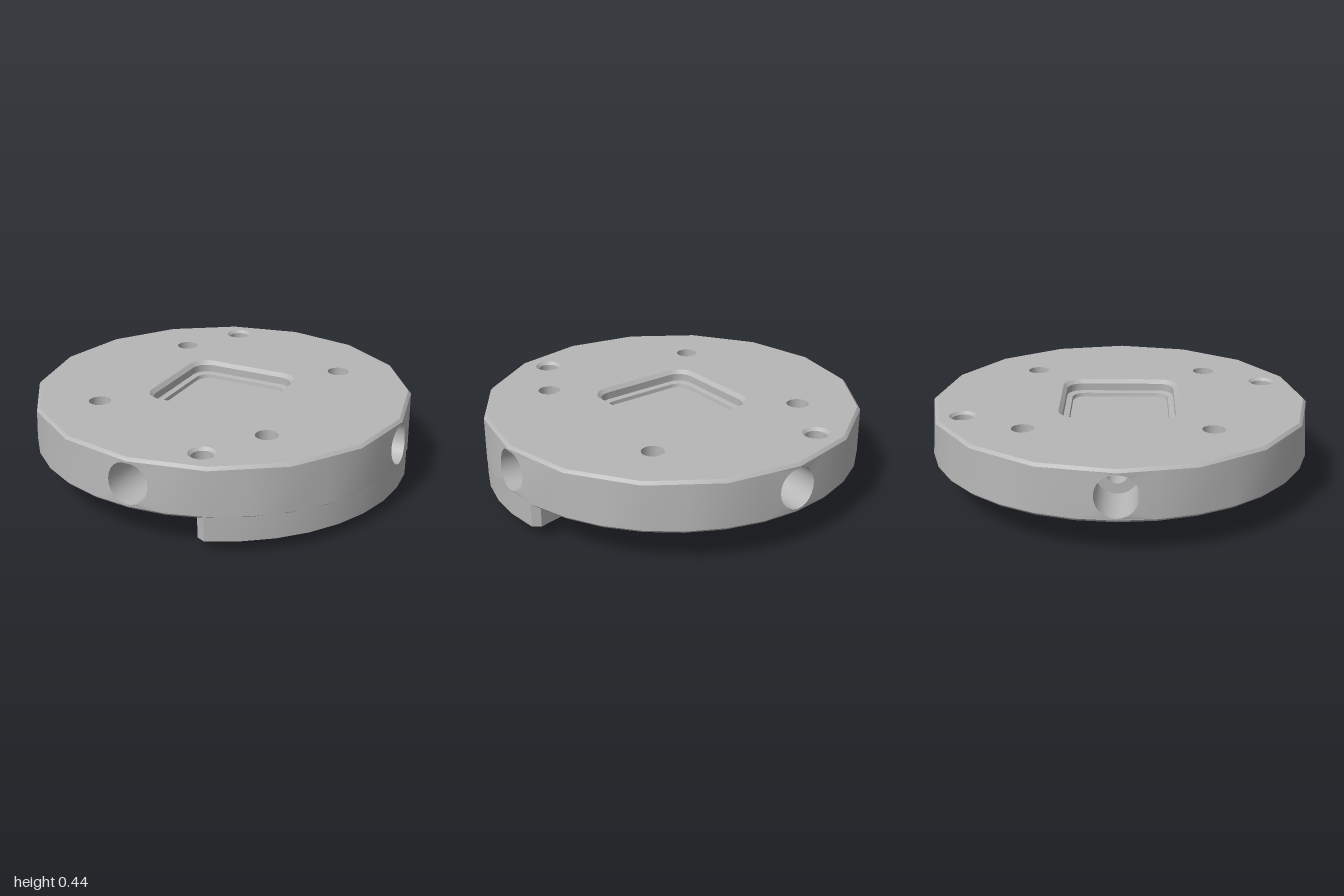
import * as THREE from 'three';
import { mergeGeometries, toCreasedNormals } from 'three/addons/utils/BufferGeometryUtils.js';

const V = (x, y, z) => new THREE.Vector3(x, y, z);
const TAU = Math.PI * 2, DEG = Math.PI / 180;

// Radius of a regular 16-sided polygon at a given angle
const poly16 = (a) => {
  const s = TAU / 16, m = ((a % s) + s) % s;
  return Math.cos(s / 2) / Math.cos(m - s / 2);
};

// Closed rings of points lying in a horizontal plane
const ring = (cx, cz, r, y, n = 20) => Array.from({ length: n }, (_, i) =>
  V(cx + r * Math.cos(i / n * TAU), y, cz + r * Math.sin(i / n * TAU)));
const facetRing = (r, y) => Array.from({ length: 32 }, (_, i) => {
  const a = i / 32 * TAU, q = r * poly16(a);
  return V(q * Math.cos(a), y, q * Math.sin(a));
});
const squareRing = (half, corner, y) => {
  const pts = [];
  for (let q = 0; q < 4; q++) for (let i = 0; i <= 5; i++) {
    const a = (q + i / 5) * Math.PI / 2, m = (q + 0.5) * Math.PI / 2;
    pts.push(V(Math.sign(Math.cos(m)) * (half - corner) + corner * Math.cos(a), y,
      Math.sign(Math.sin(m)) * (half - corner) + corner * Math.sin(a)));
  }
  return pts;
};

function geometry(points, index) {
  const g = new THREE.BufferGeometry().setFromPoints(points);
  g.setIndex(index);
  return g;
}

// Skin through closed rings of equal length; keep() can leave columns open
function loft(rings, keep = () => true) {
  const n = rings[0].length, idx = [];
  for (let k = 0; k < rings.length - 1; k++) for (let i = 0; i < n; i++) {
    if (!keep(i, k)) continue;
    const a = k * n + i, b = k * n + (i + 1) % n;
    idx.push(a, a + n, b, b, a + n, b + n);
  }
  return geometry(rings.flat(), idx);
}

// Flat horizontal face with holes
function cap(outer, holes, up) {
  const flat = (pts) => pts.map((p) => new THREE.Vector2(p.x, up ? -p.z : p.z));
  const shape = new THREE.Shape(flat(outer));
  shape.holes = holes.map((h) => new THREE.Path(flat(h)));
  const g = new THREE.ShapeGeometry(shape);
  g.rotateX(up ? -Math.PI / 2 : Math.PI / 2).translate(0, outer[0].y, 0);
  g.deleteAttribute('normal');
  g.deleteAttribute('uv');
  return g;
}

export function createModel() {
  const group = new THREE.Group();
  const metal = new THREE.MeshStandardMaterial({ color: 0xb6b6b6, side: THREE.DoubleSide });
  metal.name = 'plain grey metal';
  const add = (name, ...geos) => {
    const g = toCreasedNormals(mergeGeometries(geos), 0.6);
    const mesh = new THREE.Mesh(g, metal);
    mesh.name = name;
    group.add(mesh);
  };
  // Vertical bore from [radius, y] steps
  const bore = (name, [x, z], steps) =>
    add(name, loft(steps.map(([r, y]) => ring(x, z, r, y))));

  // Hole layout
  const bolts = [[1, 1], [1, -1], [-1, -1], [-1, 1]].map(([x, z]) => [x * 0.475, z * 0.475]);
  const pins = [[-0.295, -0.8], [0.29, 0.79]];
  const polar = (r, deg) => [r * Math.cos(deg * DEG), r * Math.sin(deg * DEG)];
  const smallHoles = [0, 1, 2, 3, 4, 5].map((i) => polar(0.475, 5 + 60 * i));
  const largeHoles = [0, 1, 2].map((i) => polar(0.43, 35 + 120 * i));

  // Disc faces
  const topRing = facetRing(0.985, 0.445);
  const bottomRing = ring(0, 0, 0.985, 0.18, 32);
  add('discTop', cap(topRing, [
    squareRing(0.315, 0.1, 0.445),
    ...bolts.map(([x, z]) => ring(x, z, 0.058, 0.445)),
    ...pins.map(([x, z]) => ring(x, z, 0.07, 0.445)),
  ], true));
  add('discUnderside', cap(bottomRing, bolts.map(([x, z]) => ring(x, z, 0.105, 0.18)), false));

  // Disc rim: round below, sixteen-sided above, left open around the side bores
  const lowY = 0.195, highY = 0.43, boreY = 0.312, boreR = 0.108;
  const rimPoint = (a, y) => {
    const r = THREE.MathUtils.lerp(1, poly16(a), (y - lowY) / (highY - lowY));
    return V(r * Math.cos(a), y, r * Math.sin(a));
  };
  const rim = loft([bottomRing, ring(0, 0, 1, lowY, 32), facetRing(1, highY), topRing],
    (i, k) => k !== 1 || (i % 8 !== 0 && i % 8 !== 7));
  const patches = [], sideBores = [];
  for (let q = 0; q < 4; q++) {
    const mid = q * Math.PI / 2, w = TAU / 32;
    const circle = Array.from({ length: 24 }, (_, i) => i / 24 * TAU);
    const frame = [[-w, lowY], [0, lowY], [w, lowY], [w, highY], [0, highY], [-w, highY]]
      .map((p) => new THREE.Vector2(...p));
    const hole = circle.map((t) =>
      new THREE.Vector2(Math.asin(boreR * Math.cos(t)), boreY + boreR * Math.sin(t))).reverse();
    const faces = THREE.ShapeUtils.triangulateShape(frame, [hole]);
    patches.push(geometry([...frame, ...hole].map((p) => rimPoint(mid + p.x, p.y)),
      faces.flatMap(([a, b, c]) => [a, c, b])));

    // Stepped bore running in towards the centre
    const inner = [[0.108, 0.72], [0.055, 0.72], [0.055, 0.56], [0.043, 0.55], [0.043, 0.45], [0.001, 0.44]]
      .map(([r, d]) => circle.map((t) =>
        V(d, boreY + r * Math.sin(t), r * Math.cos(t)).applyAxisAngle(V(0, 1, 0), -mid)));
    const mouth = circle.map((t) =>
      rimPoint(mid + Math.asin(boreR * Math.cos(t)), boreY + boreR * Math.sin(t)));
    sideBores.push(loft([mouth, ...inner]));
  }
  add('discRim', rim, ...patches);
  add('sideBores', ...sideBores);

  // Square pocket with a ledge
  const pocketFloor = squareRing(0.262, 0.07, 0.36);
  add('pocket', loft([squareRing(0.315, 0.1, 0.445), squareRing(0.295, 0.085, 0.425),
    squareRing(0.295, 0.085, 0.385), squareRing(0.265, 0.07, 0.38), pocketFloor]),
  cap(pocketFloor, [], true));

  // Bolt holes with counterbores underneath, and blind pin holes
  for (const p of bolts) bore('boltHole', p, [[0.058, 0.445], [0.058, 0.32], [0.105, 0.32], [0.105, 0.18]]);
  for (const p of pins) bore('pinHole', p, [[0.07, 0.445], [0.055, 0.43], [0.055, 0.36], [0.001, 0.36]]);

  // Round boss below the disc
  const bossBottom = facetRing(0.602, 0);
  const bossTop = ring(0, 0, 0.615, 0.18, 32);
  add('boss', loft([bossBottom, facetRing(0.617, 0.015), bossTop]), cap(bossTop, [], true),
    cap(bossBottom, [
      ...smallHoles.map(([x, z]) => ring(x, z, 0.052, 0)),
      ...largeHoles.map(([x, z]) => ring(x, z, 0.085, 0)),
    ], false));
  for (const p of smallHoles) bore('bossHole', p, [[0.052, 0], [0.052, 0.12], [0.001, 0.13]]);
  for (const p of largeHoles) {
    bore('bossScrewHole', p, [[0.085, 0], [0.085, 0.02], [0.06, 0.03], [0.06, 0.14], [0.001, 0.14]]);
  }

  // Curved tab under the rim, notched by the nearest counterbore
  const outline = [];
  const arc = (r, from, to, n, cx = 0, cz = 0) => {
    for (let i = 0; i <= n; i++) {
      const [x, z] = polar(r, from + (to - from) * i / n);
      outline.push([cx + x, cz + z]);
    }
  };
  arc(0.965, -11.6, -11.6, 0.5);
  arc(0.998, -9.5, 68.5, 8);
  arc(0.965, 70.4, 70.4, 0.5);
  arc(0.67, 70.4, 70.4, 0.5);
  arc(0.64, 68, 53.8, 3);
  arc(0.105, 45 + 112, 45 - 112, 14, 0.475, 0.475);
  arc(0.64, 36.2, -9, 6);
  arc(0.67, -11.6, -11.6, 0.5);
  const tabRing = (y) => outline.map(([x, z]) => V(x, y, z));
  add('tab', loft([tabRing(0.065), tabRing(0.2)]), cap(tabRing(0.065), [], false));

  return group;
}
